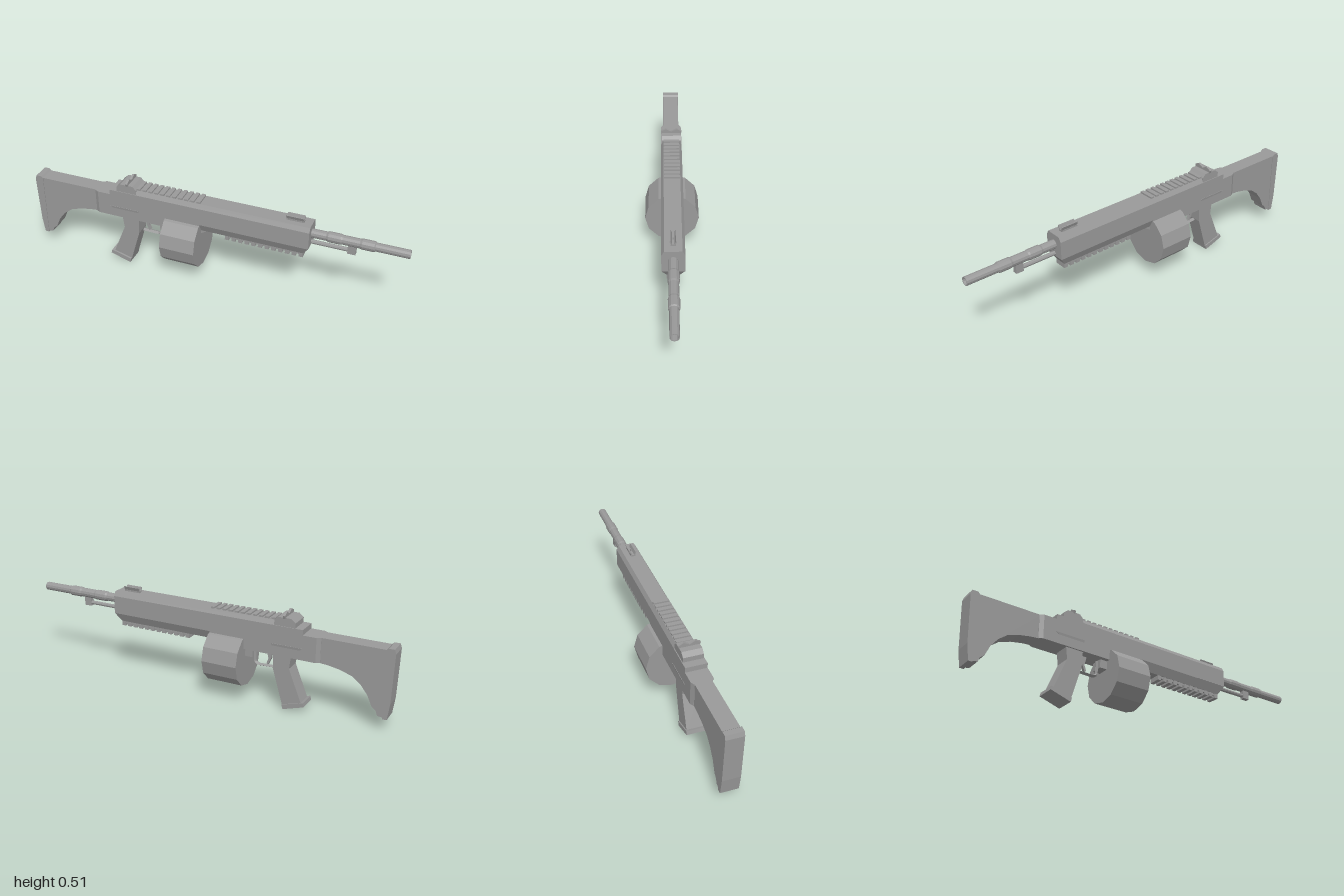
import * as THREE from 'three';

export function createModel() {
  const model = new THREE.Group();
  model.name = 'model';
  const metal = new THREE.MeshStandardMaterial({ color: 0x999999 });
  metal.name = 'grey';
  metal.flatShading = true;

  const add = (name, geometry, parent = model) => {
    const mesh = new THREE.Mesh(geometry, metal);
    mesh.name = name;
    parent.add(mesh);
    return mesh;
  };
  const group = (name) => {
    const g = new THREE.Group();
    g.name = name;
    model.add(g);
    return g;
  };
  const toShape = (pts) => new THREE.Shape(pts.map((p) => new THREE.Vector2(p[0], p[1])));
  const extrude = (shape, depth) =>
    new THREE.ExtrudeGeometry(shape, { depth, bevelEnabled: false, curveSegments: 4 });
  // side outline (x, y) given a thickness in z
  const slab = (pts, half, z = 0) => extrude(toShape(pts), half * 2).translate(0, 0, z - half);
  // cross-section (z, y) swept along x
  const bar = (pts, x0, x1) => extrude(toShape(pts), x1 - x0).rotateY(Math.PI / 2).translate(x0, 0, 0);
  const box = (x0, x1, y0, y1, half) =>
    new THREE.BoxGeometry(x1 - x0, y1 - y0, half * 2).translate((x0 + x1) / 2, (y0 + y1) / 2, 0);
  const mirror = (pts) => [...pts, ...pts.map(([z, y]) => [-z, y]).reverse()];
  const move = (geo, rule) => {
    const p = geo.attributes.position;
    const v = new THREE.Vector3();
    for (let i = 0; i < p.count; i++) {
      v.fromBufferAttribute(p, i);
      rule(v);
      p.setXYZ(i, v.x, v.y, v.z);
    }
    geo.computeVertexNormals();
    return geo;
  };

  // Receiver, with a chamfered upper housing running forward
  add('receiver', box(-0.55, -0.05, 0.285, 0.44, 0.055));
  add('upperHousing', bar(mirror([[0.055, 0.345], [0.055, 0.44], [0.042, 0.463]]), -0.4, 0.52));
  add('handguard', move(
    bar(mirror([[0.033, 0.3], [0.055, 0.346]]), -0.05, 0.52),
    (v) => { if (v.x > 0.5 && v.y < 0.32) v.x -= 0.03; }));
  add('magazineWell', slab([[-0.28, 0.24], [-0.22, 0.24], [-0.05, 0.28], [-0.015, 0.302],
    [-0.05, 0.34], [-0.28, 0.34]], 0.032));

  // Rear collar narrowing into the stock
  add('collar', extrude(toShape([[-0.64, -0.044], [-0.62, -0.055], [-0.54, -0.055],
    [-0.54, 0.055], [-0.62, 0.055], [-0.64, 0.044]]), 0.128).rotateX(-Math.PI / 2).translate(0, 0.285, 0));

  // Shoulder stock and butt pad
  add('stock', slab([[-0.63, 0.413], [-0.97, 0.413], [-0.97, 0.07], [-0.935, 0.075], [-0.925, 0.1],
    [-0.905, 0.115], [-0.88, 0.17], [-0.845, 0.215], [-0.8, 0.25], [-0.74, 0.27], [-0.68, 0.281],
    [-0.63, 0.285]], 0.042));
  add('buttPad', slab([[-0.955, 0.413], [-0.965, 0.422], [-0.993, 0.422], [-1, 0.4], [-0.993, 0.15],
    [-0.982, 0.065], [-0.96, 0.065], [-0.96, 0.09]], 0.045));

  // Pistol grip with a foot plate
  const grip = group('pistolGrip');
  add('gripShoulder', move(box(-0.55, -0.39, 0.284, 0.345, 0.057), (v) => {
    if (v.y < 0.3) {
      v.z *= 0.82;
      if (v.x < -0.5) v.x = -0.49;
    }
  }), grip);
  add('gripHandle', slab([[-0.49, 0.3], [-0.48, 0.22], [-0.553, 0.04], [-0.452, 0.015],
    [-0.397, 0.2], [-0.392, 0.3]], 0.043, 0.004), grip);
  add('gripFoot', slab([[-0.567, 0.035], [-0.562, 0.055], [-0.45, 0.024], [-0.456, 0]], 0.051, 0.006), grip);

  // Trigger and its guard
  const guardPath = new THREE.CurvePath();
  const guardPts = [[-0.39, 0.2], [-0.3, 0.197], [-0.282, 0.21], [-0.28, 0.29]]
    .map(([x, y]) => new THREE.Vector3(x, y, 0));
  for (let i = 0; i < 3; i++) guardPath.add(new THREE.LineCurve3(guardPts[i], guardPts[i + 1]));
  add('triggerGuard', new THREE.TubeGeometry(guardPath, 16, 0.007, 4).scale(1, 1, 2));
  add('trigger', slab([[-0.375, 0.29], [-0.37, 0.24], [-0.355, 0.207], [-0.346, 0.212],
    [-0.356, 0.24], [-0.345, 0.29]], 0.008));

  // Twelve-sided drum lying along x
  add('drumMagazine', new THREE.CylinderGeometry(0.14, 0.14, 0.19, 12)
    .rotateZ(Math.PI / 2).translate(-0.145, 0.213, 0));

  // Toothed rails on top and underneath
  const rail = (name, x0, x1, count, half, yBase, yMid, yTip) => {
    const g = group(name);
    add('railBase', box(x0, x1, Math.min(yBase, yMid), Math.max(yBase, yMid), half * 0.9), g);
    const step = (x1 - x0) / (count - 0.4);
    for (let i = 0; i < count; i++) {
      const x = x0 + i * step;
      add('railTooth', box(x, x + step * 0.6, Math.min(yBase, yTip), Math.max(yBase, yTip), half), g);
    }
  };
  rail('topRail', -0.4, -0.05, 11, 0.041, 0.455, 0.464, 0.472);
  rail('lowerRail', 0.08, 0.49, 12, 0.032, 0.31, 0.288, 0.275);

  // Rear sight: rounded block and twin-peaked plate
  const rear = group('rearSight');
  add('rearSightBase', slab([[-0.51, 0.43], [-0.4, 0.43], [-0.4, 0.465], [-0.418, 0.484],
    [-0.488, 0.484], [-0.51, 0.465]], 0.051), rear);
  add('rearSightPlate', bar([[-0.05, 0.475], [0.05, 0.475], [0.056, 0.494], [0.029, 0.508],
    [0, 0.493], [-0.029, 0.508], [-0.056, 0.494]], -0.457, -0.445), rear);

  // Front sight: flared ears around a post
  const front = group('frontSight');
  add('frontSightBase', box(0.39, 0.48, 0.46, 0.471, 0.012), front);
  for (const s of [1, -1]) {
    const ear = [[0.004, 0.466], [0.009, 0.466], [0.018, 0.489], [0.012, 0.489]].map(([z, y]) => [s * z, y]);
    add('frontSightEar', bar(ear, 0.39, 0.48), front);
  }
  add('frontSightPost', box(0.43, 0.442, 0.465, 0.482, 0.003), front);

  // Barrel with stepped sleeve and hollow muzzle
  const barrelProfile = [[0, 0.5], [0.023, 0.5], [0.023, 0.595], [0.027, 0.605], [0.027, 0.665],
    [0.024, 0.675], [0.024, 0.76], [0.027, 0.77], [0.027, 0.83], [0.022, 0.835], [0.022, 1],
    [0.018, 1], [0.018, 0.94], [0, 0.94]];
  add('barrel', new THREE.LatheGeometry(barrelProfile.map(([r, x]) => new THREE.Vector2(r, x)), 12)
    .rotateZ(-Math.PI / 2).translate(0, 0.409, 0));

  // Gas tube and the bracket joining it to the barrel
  add('gasTube', new THREE.CylinderGeometry(0.011, 0.011, 0.21, 8)
    .rotateZ(Math.PI / 2).translate(0.61, 0.359, 0));
  add('gasBracket', box(0.703, 0.743, 0.342, 0.392, 0.012));

  return model;
}
